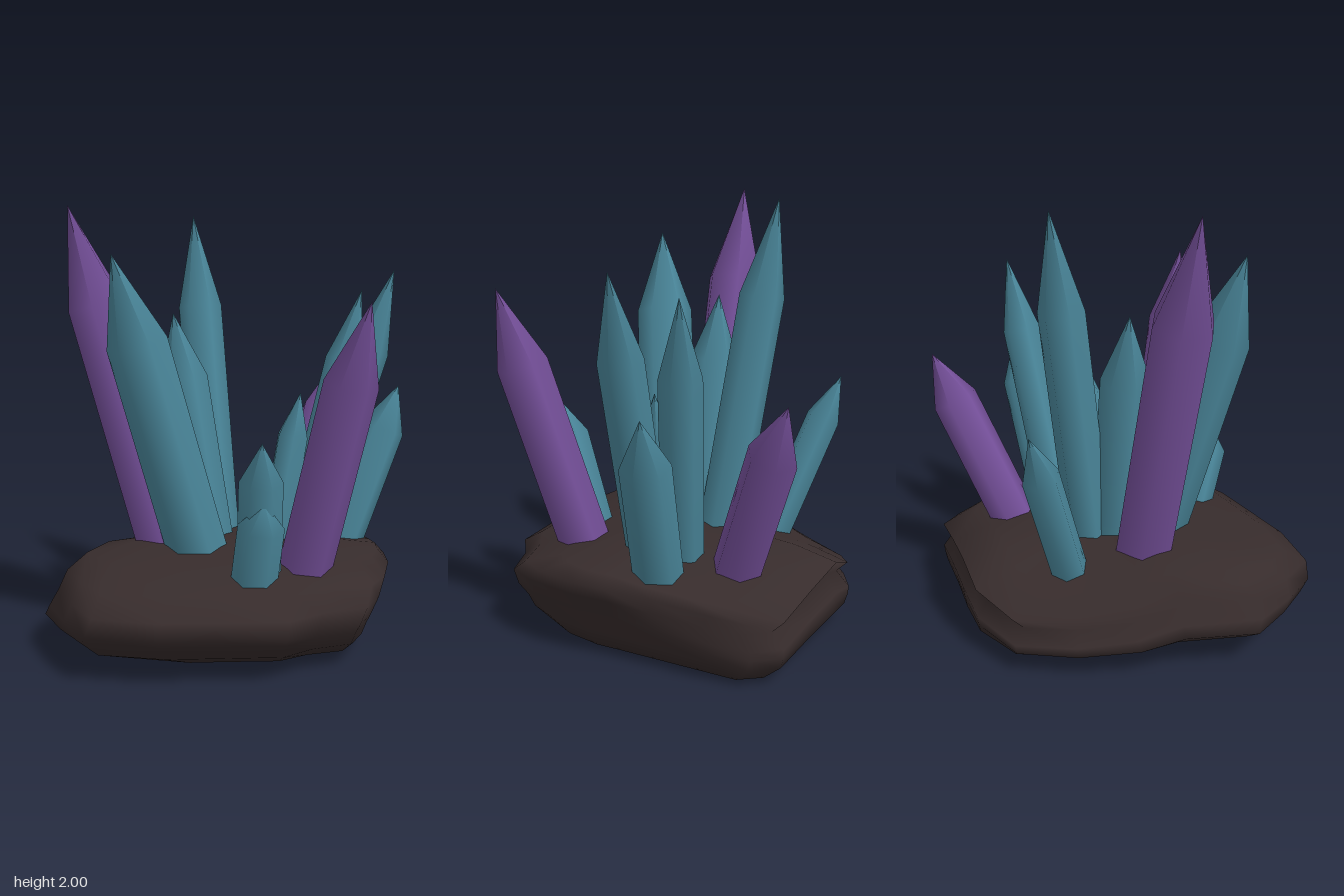
import * as THREE from 'three';

const mat = (name, color) => {
  const m = new THREE.MeshStandardMaterial({ color });
  m.name = name;
  return m;
};

// Rock slab: one plan outline, stretched per height level
function rockGeometry() {
  const outline = [
    [-0.21, -0.78], [0, -0.785], [0.25, -0.76], [0.53, -0.74], [0.62, -0.63], [0.65, -0.45],
    [0.68, -0.2], [0.735, 0], [0.735, 0.18], [0.69, 0.43], [0.62, 0.57], [0.42, 0.64],
    [0.27, 0.745], [-0.05, 0.765], [-0.29, 0.78], [-0.61, 0.73], [-0.73, 0.55],
    [-0.835, 0.34], [-0.74, 0], [-0.71, -0.2], [-0.6, -0.45], [-0.45, -0.68],
  ];
  // height, then reach to the -x, +x, -z and +z sides
  const levels = [
    [0.03, 0.48, 0.6, 0.69, 0.53],
    [0.11, 0.75, 0.63, 0.77, 0.69],
    [0.17, 0.835, 0.65, 0.78, 0.72],
    [0.22, 0.81, 0.665, 0.785, 0.78],
    [0.3, 0.765, 0.7, 0.725, 0.785],
    [0.37, 0.735, 0.735, 0.78, 0.66],
    [0.42, 0.66, 0.69, 0.58, 0.42],
    [0.45, 0.42, 0.35, 0.32, 0.2],
  ];
  const n = outline.length;
  const pos = [], idx = [];
  for (const [y, l, r, b, f] of levels)
    for (const [x, z] of outline) {
      // the +x back corner stays square; the back corners sag
      const px = x < 0 ? x * l / 0.835 : z < 0 ? Math.min(x, r) : x * r / 0.735;
      const pz = z * (z < 0 ? b / 0.785 : f / 0.78);
      const sag = z < 0 ? Math.abs(px * pz) * (x < 0 ? 1.3 : 0.55) : 0;
      pos.push(px, y * (1 - sag), pz);
    }
  const bottom = pos.length / 3, top = bottom + 1;
  pos.push(-0.1, 0, 0, -0.05, 0.46, 0);
  const last = (levels.length - 1) * n;
  for (let i = 0; i < n; i++) {
    const k = (i + 1) % n;
    for (let j = 0; j < last; j += n)
      idx.push(j + i, j + n + i, j + n + k, j + i, j + n + k, j + k);
    idx.push(bottom, i, k, top, last + k, last + i);
  }
  const g = new THREE.BufferGeometry();
  g.setAttribute('position', new THREE.Float32BufferAttribute(pos, 3));
  g.setIndex(idx);
  g.computeVertexNormals();
  return g;
}

// Six-sided crystal from its foot on the rock to its tip, rooted a little below
function crystal(name, material, foot, tip, radius, turn) {
  const a = new THREE.Vector3(...foot), b = new THREE.Vector3(...tip);
  const dir = b.clone().sub(a);
  const length = dir.length(), root = 0.2;
  dir.normalize();
  const profile = [
    [radius * 1.03, -root], [radius, length * 0.71], [0, length],
  ].map(([r, y]) => new THREE.Vector2(r, y));
  const mesh = new THREE.Mesh(new THREE.LatheGeometry(profile, 6, turn), material);
  mesh.position.copy(a);
  mesh.quaternion.setFromUnitVectors(new THREE.Vector3(0, 1, 0), dir);
  mesh.name = name;
  return mesh;
}

export function createModel() {
  const group = new THREE.Group();
  group.name = 'crystalCluster';
  const stone = mat('dark stone', 0x372c2c);
  const teal = mat('teal crystal', 0x4b889c);
  const purple = mat('purple crystal', 0x75509a);

  const rock = new THREE.Mesh(rockGeometry(), stone);
  rock.name = 'rockBase';
  group.add(rock);

  // foot, tip, radius, turn about the axis
  const T = Math.PI / 6;
  const tealCrystals = [
    [[-0.16, 0.45, 0.15], [-0.5, 1.78, 0.37], 0.137, T],
    [[-0.07, 0.45, -0.18], [-0.19, 1.97, -0.39], 0.105, T],
    [[-0.11, 0.45, -0.05], [-0.27, 1.51, -0.06], 0.115, T],
    [[-0.3, 0.42, -0.38], [-0.5, 1.12, -0.61], 0.083, 0],
    [[0.36, 0.43, -0.01], [0.76, 1.71, -0.06], 0.098, T],
    [[0.35, 0.43, -0.18], [0.64, 1.61, -0.31], 0.093, T],
    [[0.55, 0.42, -0.16], [0.82, 1.15, -0.23], 0.108, T],
    [[0.21, 0.43, 0.01], [0.33, 1.14, -0.03], 0.078, 0],
    [[0.13, 0.41, 0.43], [0.14, 1.01, 0.6], 0.095, T],
    [[0.11, 0.38, 0.48], [0.15, 0.76, 0.6], 0.1, T],
  ];
  const purpleCrystals = [
    [[-0.32, 0.45, 0.0], [-0.74, 2.0, 0.02], 0.14, 0],
    [[-0.2, 0.45, 0.04], [-0.39, 1.14, 0.1], 0.07, 0],
    [[0.33, 0.42, -0.44], [0.54, 1.2, -0.735], 0.11, 0],
    [[0.34, 0.41, 0.35], [0.575, 1.59, 0.62], 0.117, T],
  ];
  tealCrystals.forEach((c, i) => group.add(crystal(`tealCrystal${i + 1}`, teal, ...c)));
  purpleCrystals.forEach((c, i) => group.add(crystal(`purpleCrystal${i + 1}`, purple, ...c)));
  return group;
}
